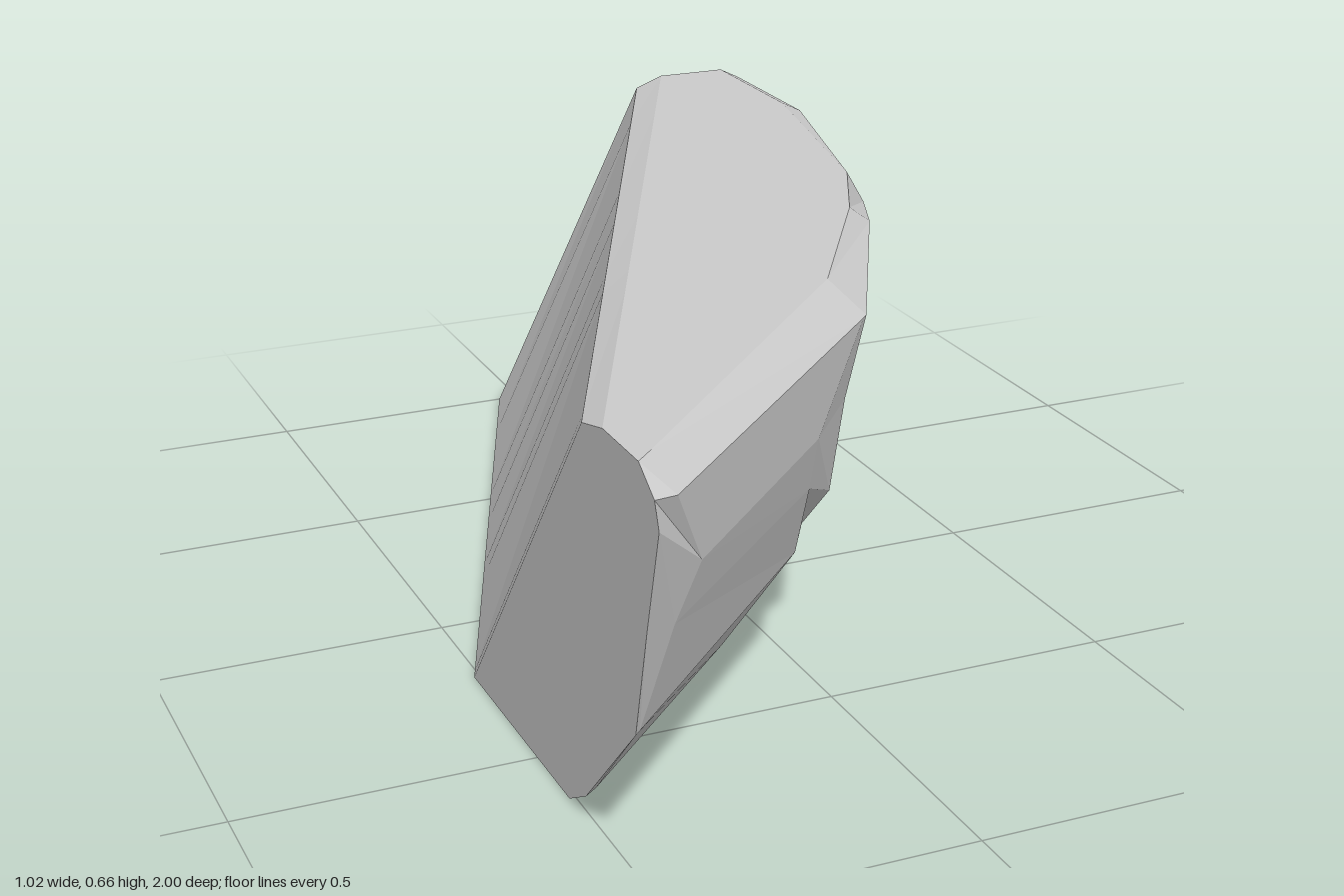
import * as THREE from 'three';

// Front side of each cross-section, from the base up to the top rim: [x, y, z]
const leftEnd = [[-0.51, 0, 0.64], [-0.51, 0.04, 0.71], [-0.51, 0.24, 0.91], [-0.51, 0.42, 0.955], [-0.51, 0.585, 1], [-0.51, 0.625, 0.985], [-0.51, 0.66, 0.93]];
const corner = [[-0.48, 0, 0.61], [-0.48, 0.03, 0.675], [-0.5, 0.24, 0.9], [-0.45, 0.4, 0.91], [-0.4, 0.48, 0.89], [-0.47, 0.62, 0.97], [-0.48, 0.66, 0.9]];
const bend = [[-0.13, 0, 0.29], [-0.11, 0.03, 0.31], [-0.04, 0.24, 0.44], [-0.05, 0.38, 0.51], [-0.055, 0.48, 0.55], [0.08, 0.62, 0.43], [0.05, 0.66, 0.35]];
const ridge = [[-0.09, 0, 0.22], [-0.07, 0.04, 0.25], [0.02, 0.24, 0.34], [0.05, 0.31, 0.38], [0.06, 0.48, 0.41], [0.09, 0.62, 0.42], [0.06, 0.66, 0.34]];
const middle = [[0, 0, 0.04], [0.04, 0.04, 0.04], [0.15, 0.18, 0.02], [0.25, 0.37, 0], [0.28, 0.44, -0.02], [0.31, 0.63, 0], [0.27, 0.66, 0]];
const shoulder = [[0.13, 0, -0.2], [0.16, 0.03, -0.2], [0.25, 0.22, -0.17], [0.3, 0.32, -0.13], [0.35, 0.46, -0.15], [0.4, 0.6, -0.2], [0.365, 0.66, -0.2]];

// The far end keeps one profile [x, y] at constant z
const tailProfile = [[0.24, 0], [0.28, 0.03], [0.42, 0.23], [0.47, 0.32], [0.49, 0.48], [0.51, 0.64], [0.47, 0.66]];
const tail = (z) => tailProfile.map(([x, y]) => [x, y, z]);

// Straight edges of the cut back side: top bevel, its lower edge, base
const backEdges = [
  [[-0.51, 0.66, 0.8], [0.335, 0.66, -1]],
  [[-0.51, 0.64, 0.72], [0.28, 0.64, -1]],
  [[-0.51, 0, 0.2], [-0.04, 0, -1]],
];

// Closes a front profile with the points at fraction t along the back edges
function section(front, t) {
  const back = backEdges.map(([a, b]) => a.map((v, k) => v + (b[k] - v) * t));
  return [...front, ...back];
}

function loft(loops) {
  const n = loops[0].length;
  const index = [];
  for (let i = 0; i < loops.length - 1; i++) {
    for (let j = 0; j < n; j++) {
      const a = i * n + j, b = i * n + (j + 1) % n;
      index.push(a, a + n, b, b, a + n, b + n);
    }
  }
  // End caps
  const last = (loops.length - 1) * n;
  for (let j = 1; j < n - 1; j++) {
    index.push(0, j, j + 1, last, last + j + 1, last + j);
  }
  const indexed = new THREE.BufferGeometry();
  indexed.setAttribute('position', new THREE.Float32BufferAttribute(loops.flat(2), 3));
  indexed.setIndex(index);
  const geometry = indexed.toNonIndexed();
  geometry.computeVertexNormals();
  return geometry;
}

export function createModel() {
  const group = new THREE.Group();
  group.name = 'rockLedge';
  const rock = new THREE.Mesh(
    loft([
      section(leftEnd, 0),
      section(corner, 0.02),
      section(bend, 0.3),
      section(ridge, 0.35),
      section(middle, 0.5),
      section(shoulder, 0.6),
      section(tail(-0.7), 0.85),
      section(tail(-1), 1),
    ]),
    new THREE.MeshStandardMaterial({ color: 0xcccccc, flatShading: true }),
  );
  rock.name = 'rock';
  group.add(rock);
  return group;
}
